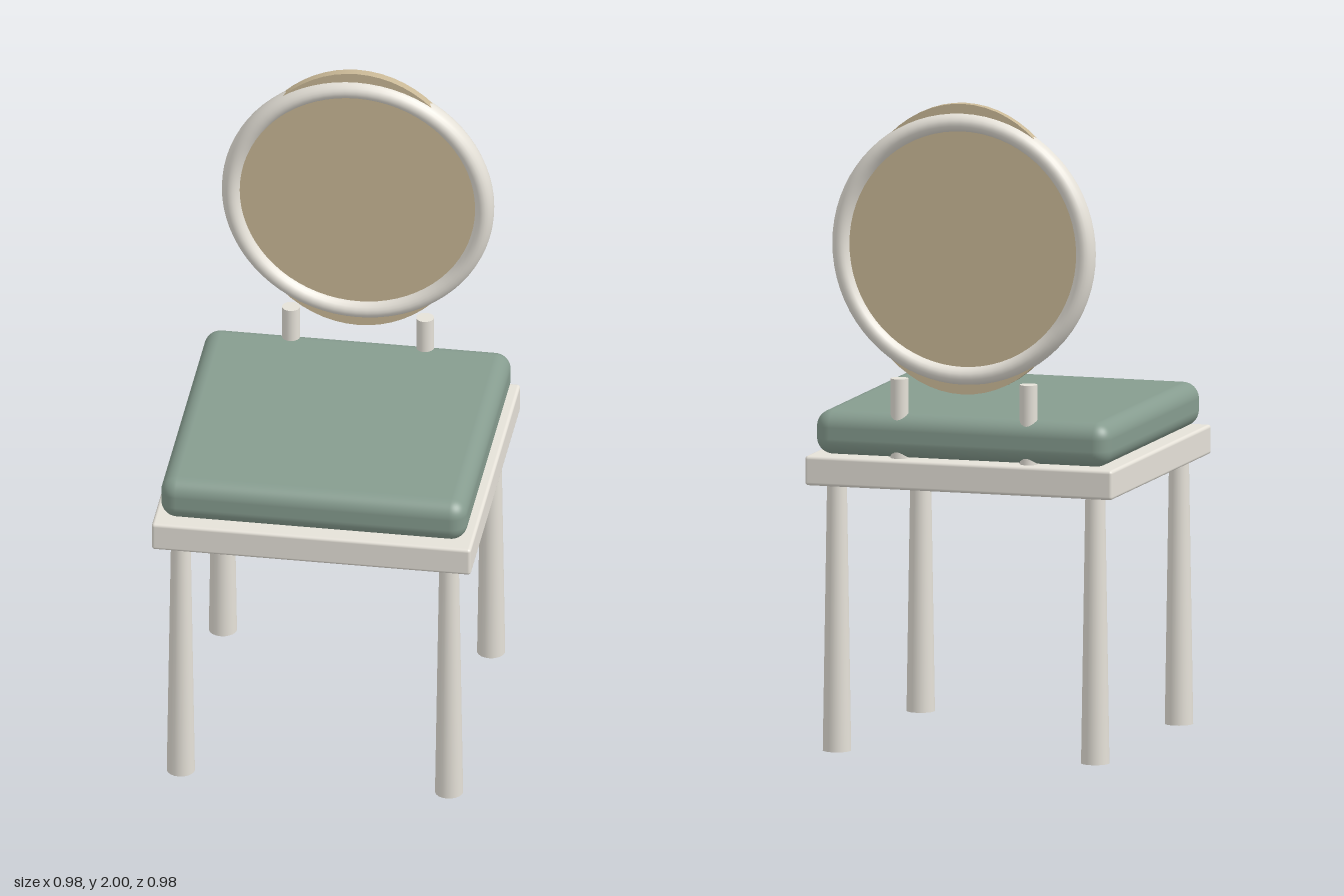
import * as THREE from 'three';
import { RoundedBoxGeometry } from 'three/addons/geometries/RoundedBoxGeometry.js';

export function createModel() {
  const chair = new THREE.Group();
  chair.name = 'chair';
  const frameMat = new THREE.MeshStandardMaterial({ color: 0xe5e1d8 });
  const cushionMat = new THREE.MeshStandardMaterial({ color: 0x869c8f });
  const panelMat = new THREE.MeshStandardMaterial({ color: 0xc9b896 });

  const add = (name, geometry, material, x, y, z) => {
    const mesh = new THREE.Mesh(geometry, material);
    mesh.name = name;
    mesh.position.set(x, y, z);
    chair.add(mesh);
    return mesh;
  };

  // Seat: frame slab and soft cushion
  add('seatFrame', new RoundedBoxGeometry(0.976, 0.09, 0.976, 3, 0.01), frameMat, 0, 0.862, 0);
  add('seatCushion', new RoundedBoxGeometry(0.936, 0.135, 0.936, 6, 0.05), cushionMat, 0, 0.976, 0);

  // Legs, wider at the foot; back posts
  const backZ = -0.43;
  const legGeo = new THREE.CylinderGeometry(0.03, 0.043, 0.82, 20);
  const postGeo = new THREE.CylinderGeometry(0.027, 0.027, 0.25, 20);
  for (const side of [1, -1]) {
    const s = side > 0 ? 'left' : 'right';
    add(s + 'FrontLeg', legGeo, frameMat, side * 0.41, 0.41, 0.41);
    add(s + 'BackLeg', legGeo, frameMat, side * 0.41, 0.41, -0.41);
    add(s + 'BackPost', postGeo, frameMat, side * 0.205, 1.025, backZ);
  }

  // Round backrest: ring deeper than it is wide, with an upright oval panel
  const ring = add('backRing', new THREE.TorusGeometry(0.387, 0.029, 20, 72), frameMat, 0, 1.556, backZ);
  ring.scale.z = 1.32;
  const panelGeo = new THREE.CylinderGeometry(1, 1, 0.026, 64)
    .rotateX(Math.PI / 2)
    .scale(0.363, 0.444, 1);
  add('backPanel', panelGeo, panelMat, 0, 1.556, backZ);

  return chair;
}
